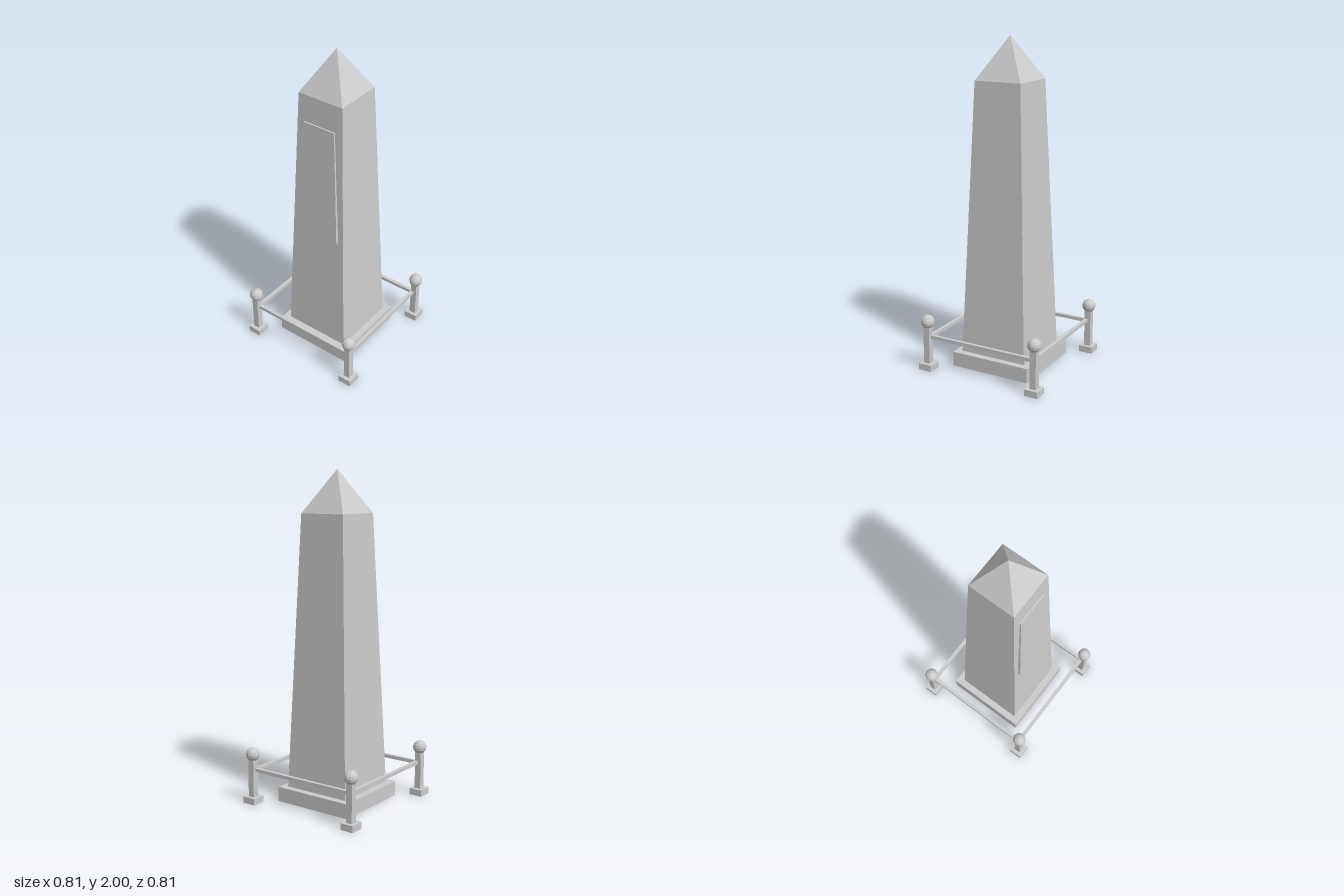
import * as THREE from 'three';

const mat = new THREE.MeshStandardMaterial({ color: 0xcccccc, flatShading: true });

function add(parent, name, geometry, x = 0, y = 0, z = 0) {
  const mesh = new THREE.Mesh(geometry, mat);
  mesh.name = name;
  mesh.position.set(x, y, z);
  parent.add(mesh);
  return mesh;
}

// Square tapered block standing on y0, given by its half-widths
function taper(bottom, top, y0, y1, openEnded = false) {
  const r = Math.SQRT2;
  const g = new THREE.CylinderGeometry(top * r, bottom * r, y1 - y0, 4, 1, openEnded, Math.PI / 4);
  return g.translate(0, (y0 + y1) / 2, 0);
}

export function createModel() {
  const model = new THREE.Group();
  model.name = 'obelisk';

  // Stone monument
  add(model, 'plinth', new THREE.BoxGeometry(0.514, 0.09, 0.514), 0, 0.045, 0);
  add(model, 'shaft', taper(0.215, 0.15, 0.09, 1.745));
  add(model, 'pyramidion', taper(0.15, 0, 1.745, 2));

  // Inscription panel leaning against the right face, narrowing upwards
  const panel = new THREE.BoxGeometry(2, 2, 2);
  const p = panel.attributes.position;
  for (let i = 0; i < p.count; i++) {
    const up = p.getY(i) > 0;
    const outer = p.getX(i) < 0;
    const x = up ? (outer ? -0.165 : -0.155) : (outer ? -0.203 : -0.184);
    p.setXYZ(i, x, up ? 1.58 : 0.85, Math.sign(p.getZ(i)) * (up ? 0.105 : 0.15));
  }
  panel.computeVertexNormals();
  add(model, 'panel', panel);

  // Fence posts with square feet and ball finials
  const c = 0.365;
  for (const sx of [-1, 1]) {
    for (const sz of [-1, 1]) {
      const post = new THREE.Group();
      post.name = 'fencePost';
      post.position.set(sx * c, 0, sz * c);
      add(post, 'postFoot', new THREE.BoxGeometry(0.085, 0.04, 0.085), 0, 0.02, 0);
      add(post, 'postShaft', new THREE.BoxGeometry(0.04, 0.24, 0.04), 0, 0.16, 0);
      add(post, 'postBall', new THREE.SphereGeometry(0.042, 12, 8), 0, 0.304, 0);
      model.add(post);
    }
  }

  // Rails between the posts
  for (const s of [-1, 1]) {
    add(model, 'frontBackRail', new THREE.BoxGeometry(0.7, 0.021, 0.022), 0, 0.207, s * 0.355);
    add(model, 'sideRail', new THREE.BoxGeometry(0.022, 0.021, 0.7), s * 0.355, 0.207, 0);
  }
  return model;
}
